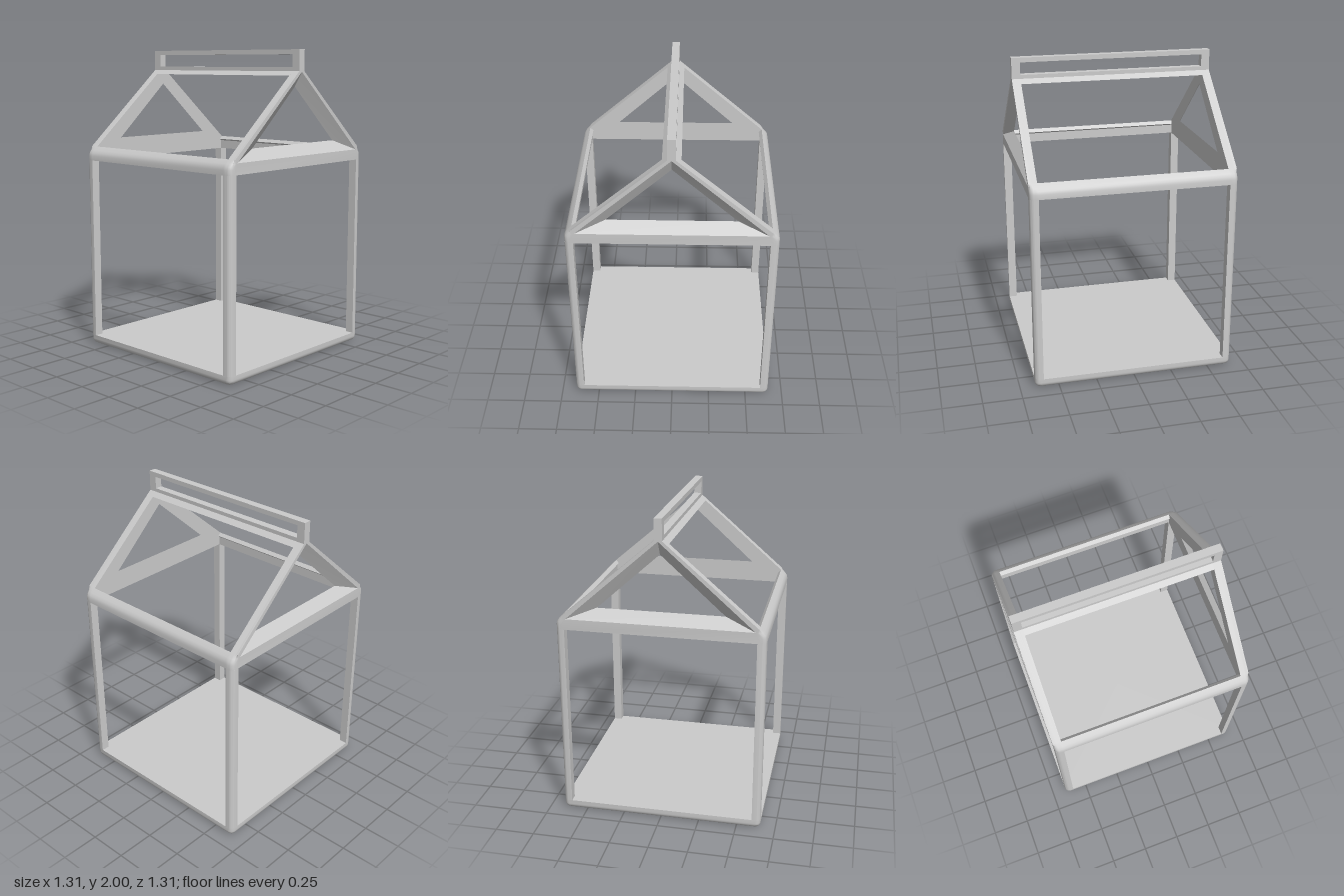
import * as THREE from 'three';
import { toCreasedNormals } from 'three/addons/utils/BufferGeometryUtils.js';

const material = new THREE.MeshStandardMaterial({ color: 0xcccccc });
const W = 0.655;   // outer half width
const IN = 0.6;    // half width of the openings
const R = 0.035;   // corner rounding

function add(parent, name, geometry) {
  const mesh = new THREE.Mesh(toCreasedNormals(geometry, 0.6), material);
  mesh.name = name;
  parent.add(mesh);
  return mesh;
}

// Skins a series of closed rings that all have the same point count
function loft(rings) {
  const pos = [];
  for (let k = 0; k < rings.length - 1; k++) {
    const n = rings[k].length;
    for (let i = 0; i < n; i++) {
      const j = (i + 1) % n;
      const a = rings[k][i], b = rings[k][j], c = rings[k + 1][j], d = rings[k + 1][i];
      pos.push(...a, ...b, ...c, ...a, ...c, ...d);
    }
  }
  const g = new THREE.BufferGeometry();
  g.setAttribute('position', new THREE.Float32BufferAttribute(pos, 3));
  g.computeVertexNormals();
  return g;
}

// Rounded square ring at height y
function squareRing(half, r, y) {
  const pts = [];
  for (let q = 0; q < 4; q++) {
    const mid = (q + 0.5) * Math.PI / 2;
    const cx = Math.sign(Math.cos(mid)) * (half - r);
    const cz = -Math.sign(Math.sin(mid)) * (half - r);
    for (let s = 0; s <= 6; s++) {
      const t = (q + s / 6) * Math.PI / 2;
      pts.push([cx + r * Math.cos(t), y, cz - r * Math.sin(t)]);
    }
  }
  return pts;
}

// Floor slab with rounded lower edges
function floorGeometry() {
  const rings = [squareRing(0, 0, 0)];
  for (let s = 0; s <= 6; s++) {
    const t = s / 6 * Math.PI / 2;
    const inset = R * (1 - Math.sin(t));
    rings.push(squareRing(W - inset, R - inset + 0.001, R * (1 - Math.cos(t))));
  }
  rings.push(squareRing(W, R, 0.06), squareRing(0, 0, 0.06));
  return loft(rings);
}

// Corner post with its outer edge rounded
function postGeometry() {
  const s = new THREE.Shape();
  s.moveTo(IN, IN);
  s.lineTo(W, IN);
  s.lineTo(W, W - R);
  s.absarc(W - R, W - R, R, 0, Math.PI / 2, false);
  s.lineTo(IN, W);
  s.closePath();
  const g = new THREE.ExtrudeGeometry(s, { depth: 1.21, bevelEnabled: false, curveSegments: 6 });
  return g.rotateX(-Math.PI / 2).translate(0, 0.06, 0);
}

// Bar running across x from a [z, y] section
function crossBar(points) {
  const s = new THREE.Shape(points.map(([z, y]) => new THREE.Vector2(-z, y)));
  const g = new THREE.ExtrudeGeometry(s, { depth: 2 * IN, bevelEnabled: false });
  return g.rotateY(Math.PI / 2).translate(-IN, 0, 0);
}

// Outer curve of the eave, from the roof slope down to the wall
const eave = [[0.61, 1.361], [0.637, 1.337], [0.65, 1.32], [W, 1.30], [W, 1.27]];

// Gable end: tie bar and rafters whose faces slope in to a triangular opening
function gableGeometry() {
  const mirrored = eave.map(([z, y]) => [-z, y]).reverse();
  const outline = [...eave, ...mirrored, [0, 1.887]];
  const ring = (x, inset) => outline.map(([z, y]) =>
    [x, y, Math.abs(z) > 0.62 ? z - Math.sign(z) * inset : z]);
  const triangle = (x, halfZ, low, top) => outline.map(([z], i) =>
    i === outline.length - 1 ? [x, top, 0] : [x, low, Math.sign(z) * halfZ]);
  const rings = [triangle(IN, 0.4, 1.41, 1.77), ring(IN, 0)];
  for (let s = 0; s <= 6; s++) {
    const t = s / 6 * Math.PI / 2;
    rings.push(ring(W - R + R * Math.sin(t), R * (1 - Math.cos(t))));
  }
  rings.push(triangle(W, 0.59, 1.34, 1.862), triangle(IN, 0.4, 1.41, 1.77));
  return loft(rings);
}

// Upright fin with a long slot
function finGeometry() {
  const s = new THREE.Shape();
  s.moveTo(-W, 1.86).lineTo(W, 1.86).lineTo(W, 2).lineTo(-W, 2).closePath();
  const slot = new THREE.Path();
  slot.moveTo(-IN, 1.89).lineTo(-IN, 1.97).lineTo(IN, 1.97).lineTo(IN, 1.89).closePath();
  s.holes.push(slot);
  return new THREE.ExtrudeGeometry(s, { depth: 0.05, bevelEnabled: false }).translate(0, 0, -0.025);
}

export function createModel() {
  const model = new THREE.Group();
  model.name = 'cartonFrame';

  add(model, 'floor', floorGeometry());

  for (let i = 0; i < 4; i++) {
    add(model, 'cornerPost', postGeometry()).rotation.y = i * Math.PI / 2;
  }

  // Eaves and gables, in opposite pairs
  for (const [side, gable, turn] of [['frontEave', 'leftGable', 0], ['backEave', 'rightGable', Math.PI]]) {
    const section = [...eave, [IN, 1.27], [IN, 1.33], [0.59, 1.34]];
    add(model, side, crossBar(section)).rotation.y = turn;
    add(model, gable, gableGeometry()).rotation.y = turn;
  }

  add(model, 'ridgeBar', crossBar([[0.057, 1.838], [0, 1.887], [-0.057, 1.838]]));
  add(model, 'topFin', finGeometry());
  return model;
}
